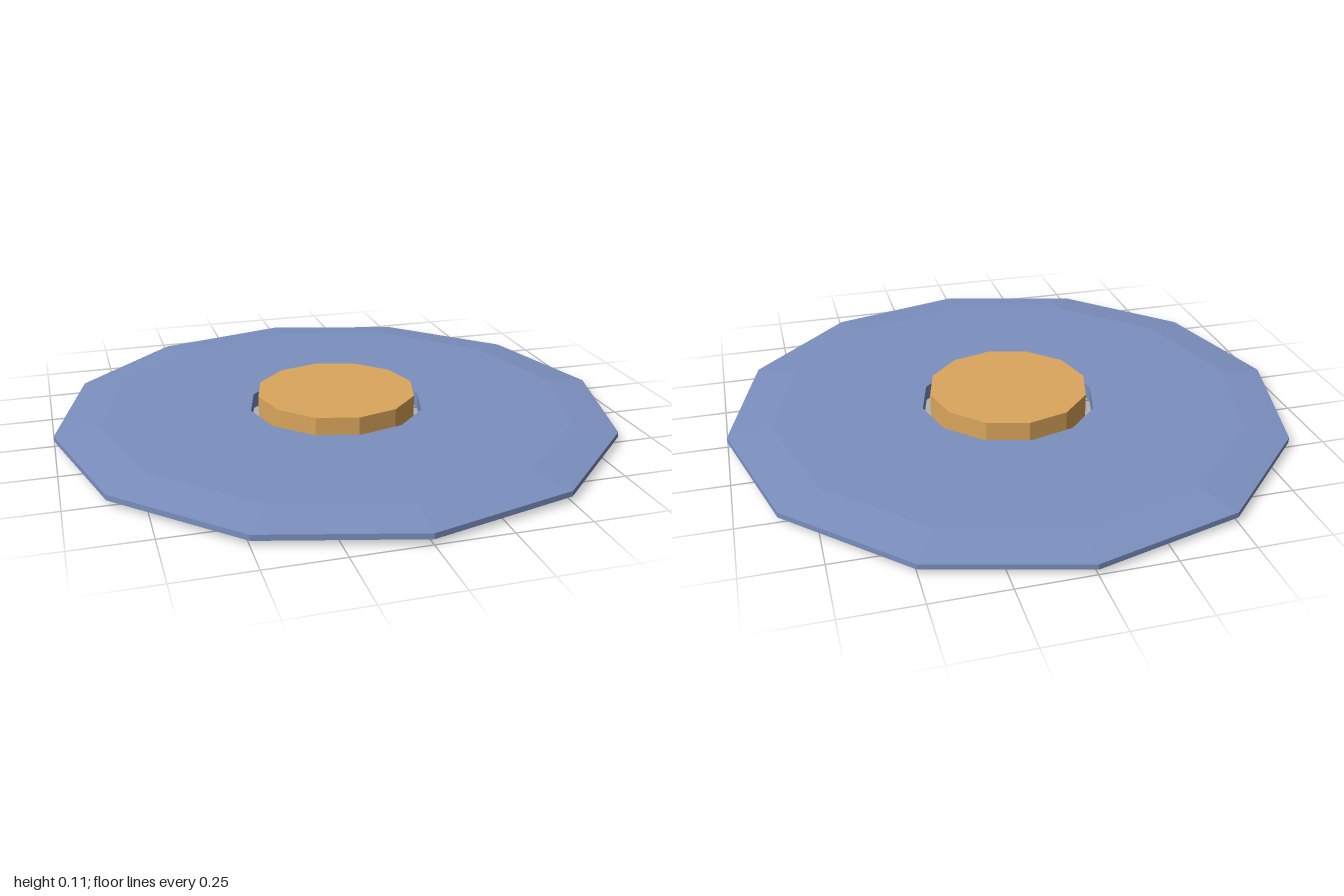
import * as THREE from 'three';

const SIDES = 12;

export function createModel() {
  const group = new THREE.Group();

  // Flat ring with a hole in the middle and a tapered outer rim
  const profile = [
    [0.315, 0], [0.845, 0], [1, 0.018], [1, 0.037], [0.845, 0.055], [0.315, 0.055], [0.315, 0],
  ].map(([r, y]) => new THREE.Vector2(r, y));
  const ring = new THREE.Mesh(
    new THREE.LatheGeometry(profile, SIDES),
    new THREE.MeshStandardMaterial({ color: 0x7b90bf, flatShading: true })
  );
  ring.name = 'outerRing';
  group.add(ring);

  // Raised centre disc, standing clear of the ring
  const height = 0.106;
  const hub = new THREE.Mesh(
    new THREE.CylinderGeometry(0.287, 0.287, height, SIDES),
    new THREE.MeshStandardMaterial({ color: 0xdaa65c, flatShading: true })
  );
  hub.position.y = height / 2;
  hub.name = 'centreDisc';
  group.add(hub);

  return group;
}
